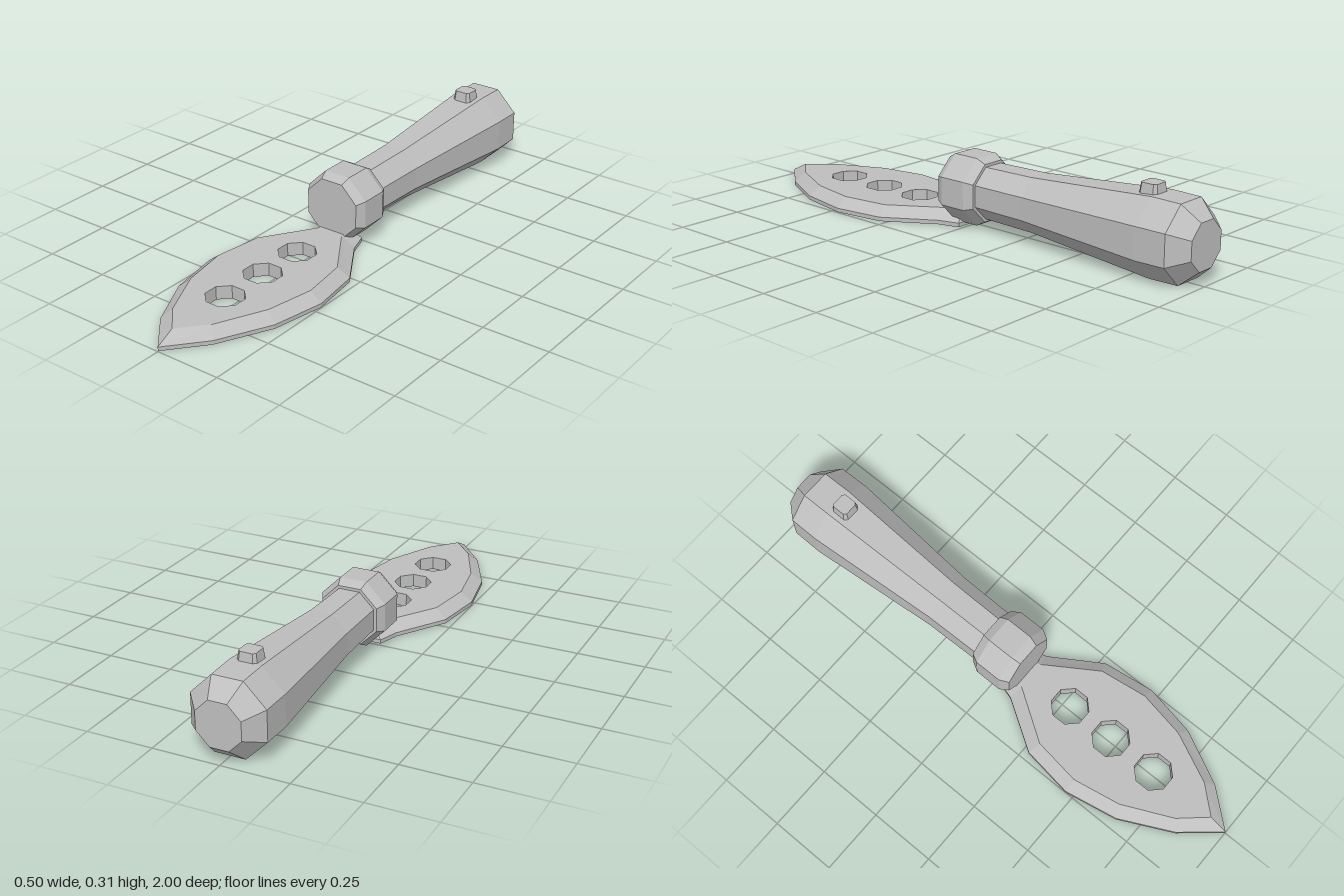
import * as THREE from 'three';

const steel = new THREE.MeshStandardMaterial({ color: 0xbebebe, flatShading: true });
steel.name = 'greyMetal';

// Skin between matching rings (counter-clockwise seen from the end), optionally capped
function loft(rings, capped) {
  const pos = [];
  const tri = (a, b, c) => pos.push(...a, ...b, ...c);
  const n = rings[0].length;
  for (let k = 0; k < rings.length - 1; k++) {
    for (let i = 0; i < n; i++) {
      const j = (i + 1) % n, lo = rings[k], hi = rings[k + 1];
      tri(lo[i], lo[j], hi[j]);
      tri(lo[i], hi[j], hi[i]);
    }
  }
  if (capped) {
    const first = rings[0], last = rings[rings.length - 1];
    for (let i = 1; i < n - 1; i++) {
      tri(first[0], first[i + 1], first[i]);
      tri(last[0], last[i], last[i + 1]);
    }
  }
  const g = new THREE.BufferGeometry();
  g.setAttribute('position', new THREE.Float32BufferAttribute(pos, 3));
  g.computeVertexNormals();
  return g;
}

// Unit octagon with flat sides, measured to the middle of each side
const octagon = Array.from({ length: 8 }, (_, i) => {
  const a = (i + 0.5) * Math.PI / 4, r = 1 / Math.cos(Math.PI / 8);
  return [Math.cos(a) * r, Math.sin(a) * r];
});

// Octagonal bar along z from [z, radius] stations
const bar = stations => loft(
  stations.map(([z, r]) => octagon.map(([x, y]) => [x * r, 0.14 + y * r, z])), true);

// Flat horizontal face with holes, facing up or down
function plate(outline, holes, y, up) {
  const s = up ? -1 : 1;
  const v = pts => pts.map(([x, z]) => new THREE.Vector2(x, s * z));
  const shape = new THREE.Shape(v(outline));
  holes.forEach(h => shape.holes.push(new THREE.Path(v(h))));
  return new THREE.ShapeGeometry(shape).rotateX(s * Math.PI / 2).translate(0, y, 0);
}

export function createModel() {
  const model = new THREE.Group();
  model.name = 'servingKnife';
  const add = (name, geometry, parent = model) => {
    const mesh = new THREE.Mesh(geometry, steel);
    mesh.name = name;
    parent.add(mesh);
  };

  // Handle with swollen, chamfered end
  add('handle', bar([[-1, 0.083], [-0.935, 0.138], [-0.82, 0.14], [-0.3, 0.1], [-0.07, 0.096]]));

  // Collar between handle and blade
  add('collar', bar([[-0.085, 0.107], [-0.052, 0.125], [0.052, 0.125], [0.085, 0.107]]));

  // Small tapered stud on the handle
  const studRing = (y, w, c) => [[w, c], [c, w], [-c, w], [-w, c], [-w, -c], [-c, -w], [c, -w], [w, -c]]
    .map(([x, z]) => [x, y, -0.785 - z]);
  add('stud', loft([studRing(0.27, 0.038, 0.026), studRing(0.312, 0.032, 0.023)], true));

  // Leaf-shaped blade: half outlines as [x, z] from the tip backwards
  const mirrored = half => [[0, half[0][1]], ...half.slice(1),
    ...half.slice(1).reverse().map(([x, z]) => [-x, z])];
  const outer = mirrored([[0, 1], [0.115, 0.865], [0.212, 0.67], [0.25, 0.47], [0.223, 0.275], [0.105, 0.09], [0.08, 0.01]]);
  const inner = mirrored([[0, 0.93], [0.085, 0.835], [0.172, 0.65], [0.205, 0.47], [0.18, 0.29], [0.055, 0.1], [0.035, 0.04]]);
  const holes = [0.285, 0.475, 0.67].map(z => octagon.map(([x, y]) => [x * 0.066, z - y * 0.066]));
  const at = (pts, y) => pts.map(([x, z]) => [x, y, z]);
  const top = 0.052, rim = 0.017, base = 0.002;

  const blade = new THREE.Group();
  blade.name = 'blade';
  model.add(blade);
  add('bladeTop', plate(inner, holes, top, true), blade);
  add('bladeUnderside', plate(outer, holes, base, false), blade);
  add('bladeEdge', loft([at(outer, base), at(outer, rim), at(inner, top)]), blade);
  holes.forEach(h => add('bladeHoleWall', loft([at(h, top), at(h, base)]), blade));

  return model;
}
